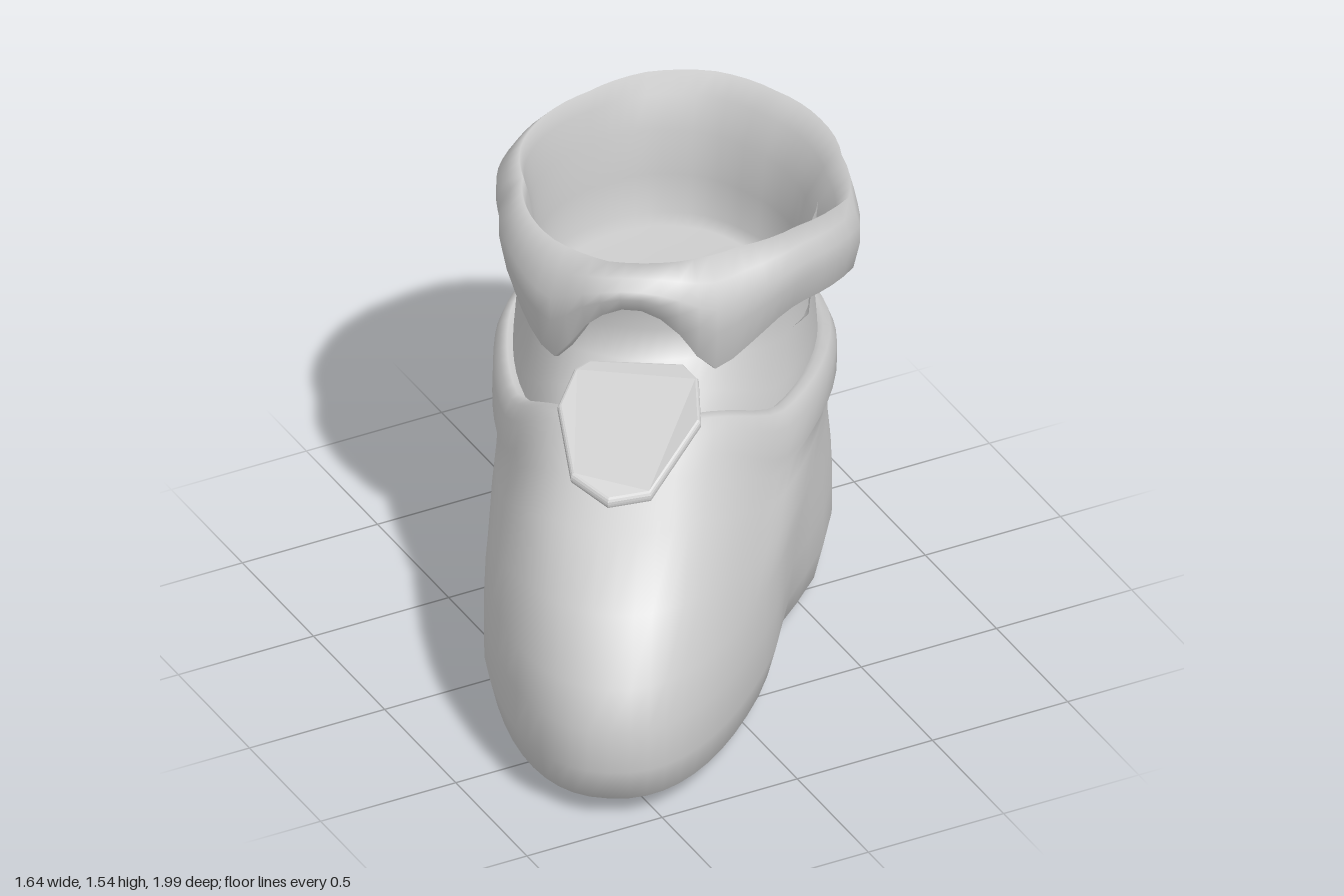
import * as THREE from 'three';

const material = new THREE.MeshStandardMaterial({ color: 0xcccccc });
const smooth = THREE.MathUtils.smoothstep;
const lerp = THREE.MathUtils.lerp;
const SEGMENTS = 64;

// Skins a stack of closed rings; point(ring, angle) gives [x, y, z].
function loft(name, rings, point) {
  const positions = [], index = [];
  rings.forEach((ring, i) => {
    for (let j = 0; j < SEGMENTS; j++) {
      positions.push(...point(ring, (j / SEGMENTS) * Math.PI * 2));
      if (i === rings.length - 1) continue;
      const a = i * SEGMENTS + j, b = i * SEGMENTS + ((j + 1) % SEGMENTS);
      index.push(a, a + SEGMENTS, b, a + SEGMENTS, b + SEGMENTS, b);
    }
  });
  const geometry = new THREE.BufferGeometry();
  geometry.setAttribute('position', new THREE.Float32BufferAttribute(positions, 3));
  geometry.setIndex(index);
  geometry.computeVertexNormals();
  const mesh = new THREE.Mesh(geometry, material);
  mesh.name = name;
  return mesh;
}

// Footprint outline: round heel behind, long blunt toe in front (+z).
// Rings with a pinched waist belong to the sole and lift right after the heel.
function footPoint([heelY, frontY, front, width, heel, pinch = 0], t) {
  const c = Math.cos(t), s = Math.sin(t);
  const power = s > 0 ? 2 / lerp(2, 2.25, smooth(front, 0.8, 1.3)) : 1;
  const z = s > 0 ? front * s ** power : heel * s;
  const waist = 1 - pinch * Math.exp(-(((z - 0.55) / 0.22) ** 2));
  const x = width * waist * Math.sign(c) * Math.abs(c) ** power - 0.06 * smooth(z, 0, 1.1);
  const lift = pinch ? smooth(z, 0, 0.55) : smooth(z / front, 0.52, 0.98);
  return [x, lerp(heelY, frontY, lift), z];
}

// Outer cuff radius at 16 even angles, from +x towards +z.
const CUFF_RADII = [0.6, 0.61, 0.68, 0.63, 0.63, 0.66, 0.68, 0.64,
  0.58, 0.53, 0.56, 0.58, 0.6, 0.63, 0.63, 0.6];

function cuffRadius(t) {
  const f = (t / (Math.PI * 2)) * 16, i = Math.floor(f);
  return lerp(CUFF_RADII[i % 16], CUFF_RADII[(i + 1) % 16], f - i);
}

// Lower edge of the cuff: an arch over the instep with a drooping lip each side.
function cuffBottom(t) {
  const d = Math.abs(THREE.MathUtils.radToDeg(t) - 127);
  return d < 23 ? 1.39 - 0.27 * (d / 23) ** 2 : lerp(1.12, 1.26, smooth(d, 23, 55));
}

export function createModel() {
  const model = new THREE.Group();
  model.name = 'boot';

  // Foot parts share a frame whose +z points at the toe.
  const foot = new THREE.Group();
  foot.name = 'foot';
  foot.position.set(0.25, 0, -0.4);
  foot.rotation.y = -0.562;
  model.add(foot);

  // Sole, upper and the padded collar: [heelY, frontY, front, width, heel, pinch]
  foot.add(loft('shoeBody', [
    [0.01, 0.025, 0.01, 0, 0, 0.1],
    [0, 0.025, 1.4, 0.43, 0.46, 0.13],
    [0.01, 0.035, 1.52, 0.47, 0.51, 0.13],
    [0.06, 0.075, 1.6, 0.515, 0.56, 0.12],
    [0.19, 0.2, 1.64, 0.545, 0.59, 0.09],
    [0.32, 0.34, 1.62, 0.545, 0.585, 0.06],
    [0.45, 0.48, 1.57, 0.54, 0.57, 0.03],
    [0.56, 0.67, 1.42, 0.53, 0.56],
    [0.65, 0.83, 1.18, 0.53, 0.565],
    [0.7, 0.92, 1.02, 0.535, 0.58],
    [0.74, 0.97, 0.95, 0.56, 0.605],
    [0.83, 1.01, 0.88, 0.56, 0.605],
    [0.88, 1.04, 0.84, 0.54, 0.59],
    [0.89, 1.045, 0.81, 0.515, 0.56],
    [0.86, 1.02, 0.77, 0.48, 0.51],
  ], footPoint));

  // Ankle sleeve
  foot.add(loft('ankle', [
    [0.8, 1.0, 0.8, 0.5, 0.55],
    [0.92, 1.06, 0.7, 0.495, 0.55],
    [1.05, 1.12, 0.57, 0.485, 0.53],
    [1.2, 1.23, 0.55, 0.49, 0.51],
    [1.3, 1.32, 0.56, 0.5, 0.51],
    [1.4, 1.42, 0.58, 0.5, 0.5],
  ], footPoint));

  // Tongue flap folded forward, curving down over the instep
  const outline = [[-0.2, 0.62], [0.1, 0.62], [0.15, 0.68], [0.17, 0.845], [0.03, 1.09],
    [-0.1, 1.115], [-0.22, 1.045], [-0.28, 0.81], [-0.24, 0.66]];
  const flapGeometry = new THREE.ExtrudeGeometry(
    new THREE.Shape(outline.map(([x, z]) => new THREE.Vector2(x, -z))),
    { depth: 0.006, bevelThickness: 0.014, bevelSize: 0.012, bevelSegments: 3 });
  flapGeometry.rotateX(-Math.PI / 2);
  const p = flapGeometry.attributes.position;
  for (let i = 0; i < p.count; i++) {
    const s = p.getZ(i) - 0.65;
    p.setY(i, p.getY(i) + 1.115 - 0.2 * s - 0.5 * s * s);
  }
  flapGeometry.computeVertexNormals();
  const flap = new THREE.Mesh(flapGeometry, material);
  flap.name = 'tongueFlap';
  foot.add(flap);

  // Turned-down cuff and lining: height runs from the lower edge (0) to the rim (1),
  // side widens the ring towards +x
  const cuff = loft('cuff', [
    { scale: 0.8, height: 0 },
    { scale: 0.93, height: 0 },
    { scale: 0.965, height: 0.03 },
    { scale: 1, height: 0.4 },
    { scale: 1, height: 0.62 },
    { scale: 0.94, height: 0.82, side: 0.05 },
    { scale: 0.86, height: 1, side: 0.12 },
    { scale: 0.83, y: 1.47, side: 0.06 },
    { scale: 0.79, y: 1.36 },
    { scale: 0.76, y: 1.2 },
    { scale: 0.74, y: 1.06 },
    { scale: 0.68, y: 1.03 },
    { scale: 0, y: 1.03 },
  ], ({ scale, height, y, side = 0 }, t) => {
    const r = cuffRadius(t) * (scale + side * Math.max(0, Math.cos(t)));
    const top = 1.535 + 0.01 * Math.cos(t);
    return [r * Math.cos(t), y ?? lerp(cuffBottom(t), top, height), r * Math.sin(t)];
  });
  cuff.position.set(0.22, 0, -0.37);
  model.add(cuff);

  return model;
}
